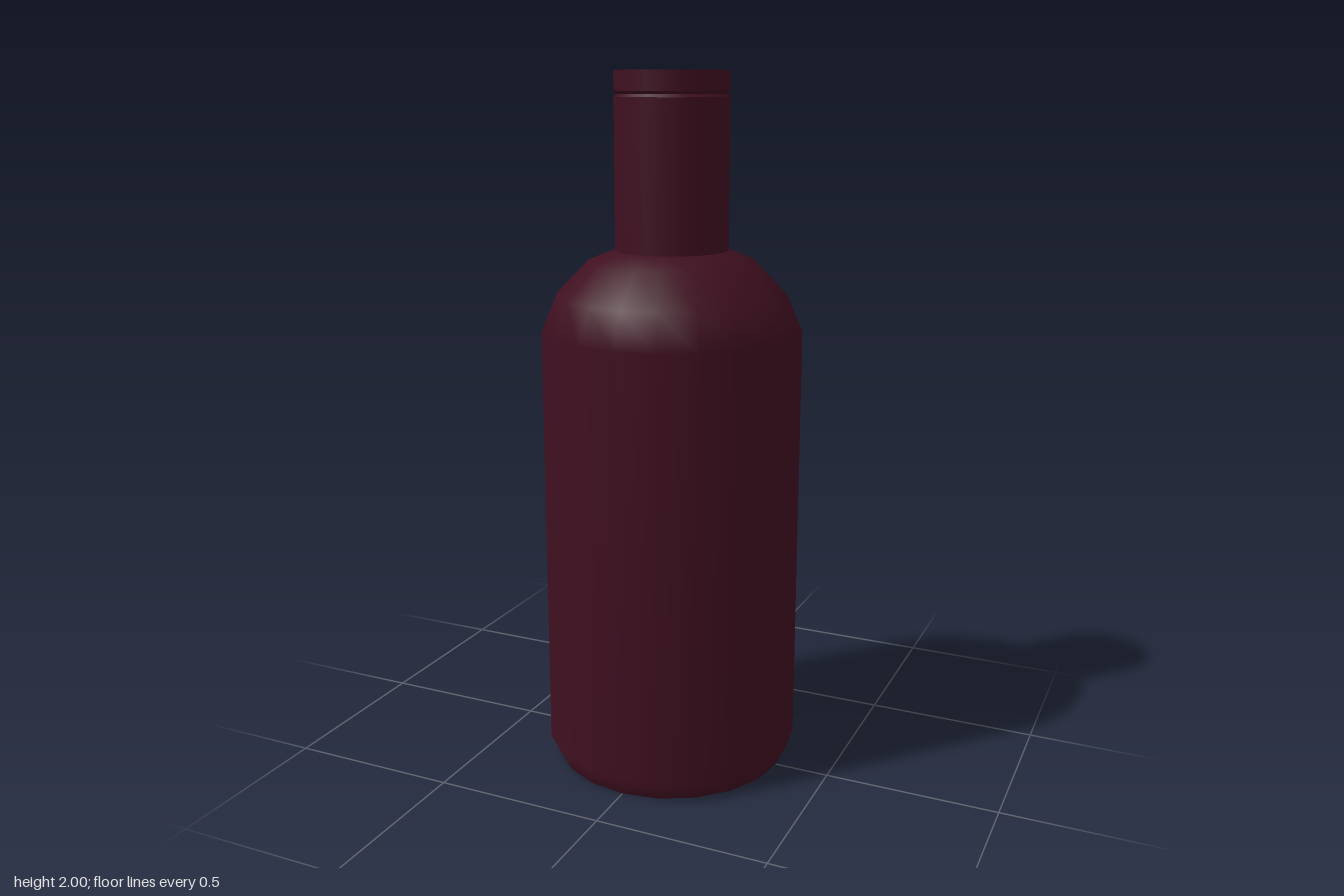
import * as THREE from 'three';

const SIDES = 20;

export function createModel() {
  const bottle = new THREE.Group();
  bottle.name = 'bottle';
  const glass = new THREE.MeshStandardMaterial({ color: 0x3f0f20 });

  // Each part is a separate lathe, so the edges between parts stay sharp
  const turn = (name, profile) => {
    const points = profile.map(([r, y]) => new THREE.Vector2(r, y));
    const mesh = new THREE.Mesh(new THREE.LatheGeometry(points, SIDES), glass);
    mesh.name = name;
    bottle.add(mesh);
  };

  // Flat underside
  turn('base', [[0, 0], [0.34, 0]]);

  // Bevelled foot, straight wall and rounded shoulder
  turn('body', [
    [0.34, 0], [0.37, 0.06], [0.37, 1.29],
    [0.327, 1.39], [0.235, 1.485], [0.16, 1.515],
  ]);

  // Straight neck, with a fine groove below the stopper
  turn('neck', [[0.16, 1.515], [0.16, 1.93]]);
  turn('grooveLower', [[0.16, 1.93], [0.153, 1.938]]);
  turn('grooveUpper', [[0.153, 1.938], [0.16, 1.946]]);

  // Stopper ring and its closed top
  turn('stopper', [[0.16, 1.946], [0.16, 2]]);
  turn('stopperTop', [[0.16, 2], [0, 2]]);

  return bottle;
}
